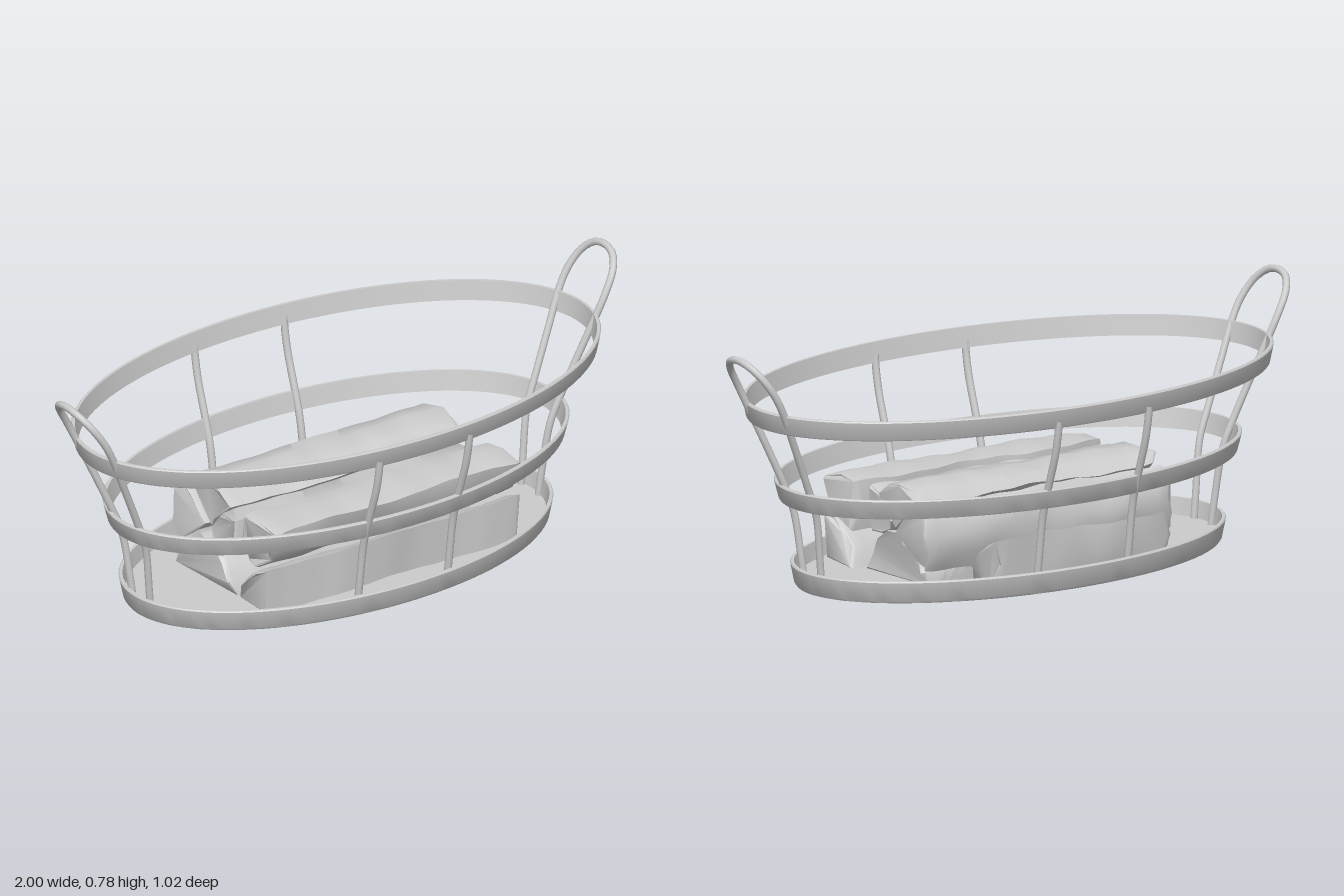
import * as THREE from 'three';
import { toCreasedNormals } from 'three/addons/utils/BufferGeometryUtils.js';

const material = new THREE.MeshStandardMaterial({ color: 0xcccccc });

function add(parent, name, geometry) {
  const mesh = new THREE.Mesh(geometry, material);
  mesh.name = name;
  parent.add(mesh);
  return mesh;
}

// Elliptical turned part: profile points are [offset from the ellipse, y]
function ovalLathe(rx, rz, profile) {
  const points = profile.map(([o, y]) => new THREE.Vector2(1 + o, y));
  const geometry = new THREE.LatheGeometry(points, 96);
  const p = geometry.attributes.position;
  for (let i = 0; i < p.count; i++) {
    const x = p.getX(i), z = p.getZ(i), r = Math.hypot(x, z);
    if (r < 1e-6) continue;
    const o = r - 1;
    // offsets of -1 mark the centre
    p.setX(i, (x / r) * (rx + o));
    p.setZ(i, (z / r) * (rz + o));
  }
  return toCreasedNormals(geometry, 0.7);
}

// Flat metal hoop leaning outwards
function hoop(rx, rz, y0, y1, lean) {
  const t = 0.012;
  return ovalLathe(rx, rz, [
    [-lean - t, y0], [-lean - 0.003, y0], [-lean, y0 + 0.004],
    [0, y1 - 0.004], [-0.003, y1], [-t, y1], [-lean - t, y0],
  ]);
}

function rod(points, segments) {
  const curve = new THREE.CatmullRomCurve3(points.map((p) => new THREE.Vector3(...p)));
  return new THREE.TubeGeometry(curve, segments, 0.0115, 10);
}

// Split log: cross-section corners [z, y] swept along x, with a worn surface
function log(section, x0, x1, seed) {
  const shape = new THREE.Shape(section.map(([z, y]) => new THREE.Vector2(-z, y)));
  const bevel = 0.012;
  const geometry = new THREE.ExtrudeGeometry(shape, {
    depth: x1 - x0 - 2 * bevel, steps: 24,
    bevelThickness: bevel, bevelSize: 0.008, bevelOffset: -0.008, bevelSegments: 2,
  });
  geometry.rotateY(Math.PI / 2);
  geometry.translate(x0 + bevel, 0, 0);
  const p = geometry.attributes.position;
  for (let i = 0; i < p.count; i++) {
    const x = p.getX(i), y = p.getY(i), z = p.getZ(i);
    const end = Math.max(0, Math.abs((2 * x - x0 - x1) / (x1 - x0)) - 0.85) / 0.15;
    p.setXYZ(i,
      x + end * 0.016 * Math.sin(55 * y + 38 * z + seed * 2),
      y + 0.004 * Math.sin(13 * x + 25 * z + seed) + 0.002 * Math.sin(41 * x + seed),
      z + 0.004 * Math.sin(11 * x + 30 * y + seed * 3) + 0.002 * Math.sin(37 * x + seed));
  }
  return toCreasedNormals(geometry, 0.65);
}

export function createModel() {
  const model = new THREE.Group();
  model.name = 'logBasket';

  // Shallow oval tray with a raised rim
  const tray = new THREE.Group();
  tray.name = 'tray';
  model.add(tray);
  add(tray, 'trayRim', ovalLathe(0.745, 0.417, [
    [-0.03, 0], [-0.018, 0.002], [-0.012, 0.01], [0, 0.068],
    [-0.003, 0.072], [-0.012, 0.072], [-0.022, 0.02],
  ]));
  for (const side of [1, -1]) {
    const disc = new THREE.CircleGeometry(1, 96);
    disc.rotateX((-side * Math.PI) / 2);
    disc.scale(0.724, 1, 0.396);
    disc.translate(0, side > 0 ? 0.02 : 0, 0);
    add(tray, side > 0 ? 'trayFloor' : 'trayUnderside', disc);
  }

  // Two hoops
  add(model, 'middleHoop', hoop(0.8, 0.45, 0.274, 0.335, 0.014));
  add(model, 'topHoop', hoop(0.908, 0.51, 0.538, 0.6, 0.011));

  // Front and back uprights
  for (const s of [1, -1]) {
    for (const x of [-0.18, 0.15]) {
      const path = [[0.37, 0.02], [0.38, 0.09], [0.405, 0.25], [0.433, 0.34],
        [0.47, 0.45], [0.485, 0.52], [0.49, 0.56]];
      add(model, s > 0 ? 'frontUpright' : 'backUpright',
        rod(path.map(([z, y]) => [x, y, z * s]), 24));
    }
  }

  // Arched end handles whose legs run down to the tray
  const leg = [[0.712, 0.012, 0.045], [0.722, 0.1, 0.05], [0.745, 0.26, 0.062],
    [0.78, 0.35, 0.07], [0.845, 0.5, 0.088], [0.885, 0.59, 0.1],
    [0.92, 0.66, 0.102], [0.958, 0.72, 0.086], [0.982, 0.755, 0.05]];
  const arch = [...leg, [0.988, 0.766, 0],
    ...leg.slice().reverse().map(([x, y, z]) => [x, y, -z])];
  for (const s of [1, -1]) {
    add(model, s > 0 ? 'leftHandle' : 'rightHandle',
      rod(arch.map(([x, y, z]) => [x * s, y, z]), 80));
  }

  // Stack of split firewood: three below, four above
  const logs = [
    ['lowerFrontLog', -0.45, 0.48, [[0.26, 0.02], [0.263, 0.165], [0.225, 0.153],
      [0.18, 0.125], [0.145, 0.085], [0.115, 0.022]]],
    ['lowerMiddleLog', -0.44, 0.45, [[0.1, 0.022], [0.09, 0.07], [0.05, 0.12], [0, 0.155],
      [-0.06, 0.165], [-0.12, 0.152], [-0.165, 0.115], [-0.2, 0.065], [-0.2, 0.022]]],
    ['lowerBackLog', -0.34, 0.285, [[-0.21, 0.022], [-0.24, 0.075], [-0.27, 0.125],
      [-0.31, 0.16], [-0.36, 0.18], [-0.36, 0.1], [-0.345, 0.022]]],
    ['upperFrontLog', -0.42, 0.48, [[0.27, 0.285], [0.262, 0.235], [0.235, 0.185],
      [0.195, 0.153], [0.12, 0.136], [0.115, 0.21], [0.118, 0.292], [0.19, 0.3]]],
    ['upperMiddleLog', -0.44, 0.44, [[0.11, 0.275], [0.115, 0.165], [0.07, 0.145],
      [0.02, 0.148], [-0.02, 0.165], [-0.045, 0.2], [0.02, 0.265]]],
    ['topLog', -0.415, 0.455, [[0.03, 0.275], [-0.025, 0.22], [-0.075, 0.18],
      [-0.14, 0.23], [-0.2, 0.285], [-0.17, 0.315], [-0.1, 0.328], [-0.02, 0.315]]],
    ['upperBackLog', -0.43, 0.47, [[-0.095, 0.18], [-0.14, 0.135], [-0.185, 0.095],
      [-0.225, 0.075], [-0.245, 0.13], [-0.25, 0.19], [-0.235, 0.245], [-0.2, 0.28],
      [-0.15, 0.24]]],
  ];
  const wood = new THREE.Group();
  wood.name = 'firewood';
  model.add(wood);
  logs.forEach(([name, x0, x1, section], i) => add(wood, name, log(section, x0, x1, i + 1)));

  return model;
}
